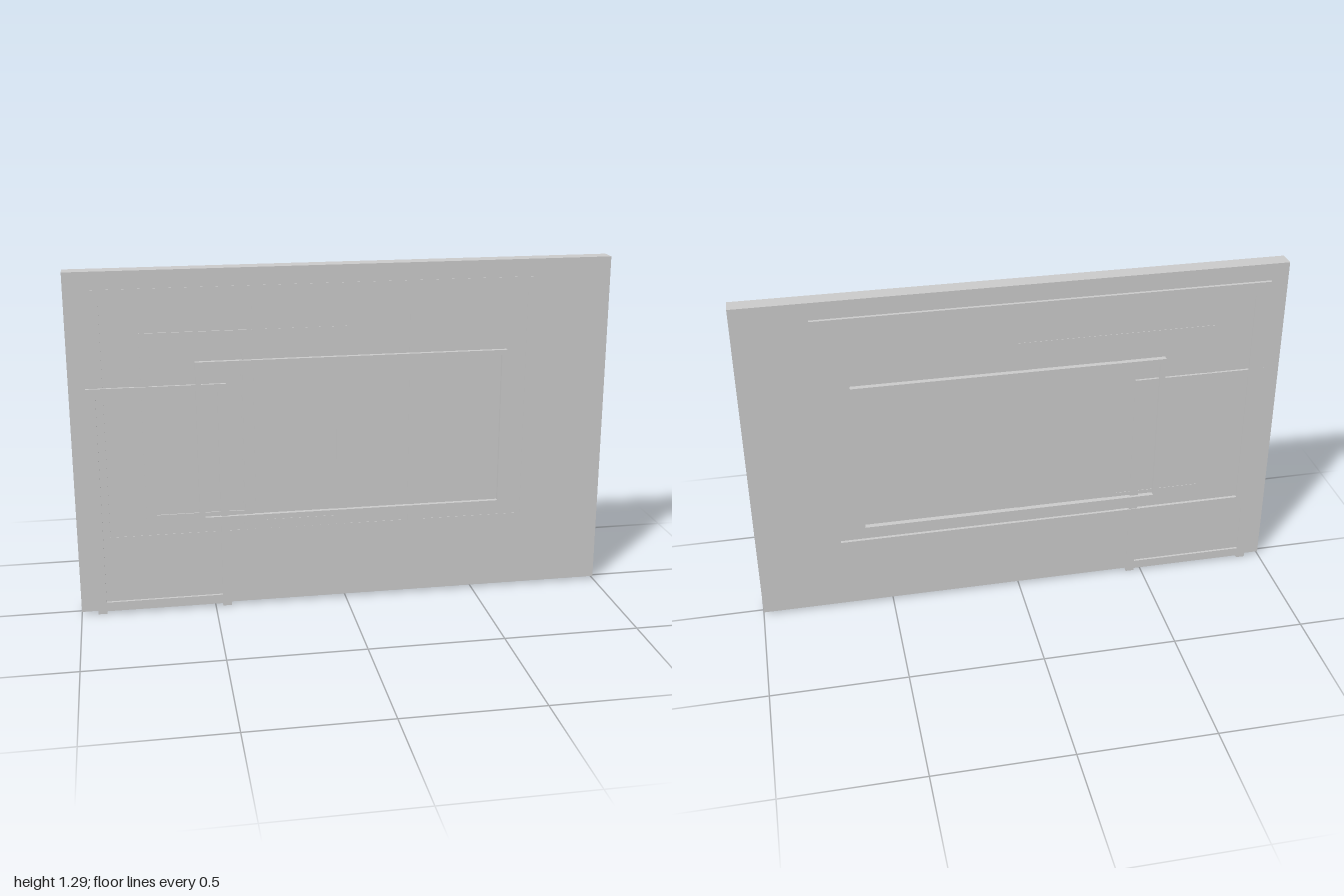
import * as THREE from 'three';

const material = new THREE.MeshStandardMaterial({ color: 0xcccccc, flatShading: true });

// Rectangular frame with one opening, running from depth z0 to z1
function frame(name, [x0, y0, x1, y1], [a0, b0, a1, b1], z0, z1) {
  const shape = new THREE.Shape();
  shape.moveTo(x0, y0).lineTo(x1, y0).lineTo(x1, y1).lineTo(x0, y1).closePath();
  const hole = new THREE.Path();
  hole.moveTo(a0, b0).lineTo(a0, b1).lineTo(a1, b1).lineTo(a1, b0).closePath();
  shape.holes.push(hole);
  const geometry = new THREE.ExtrudeGeometry(shape, { depth: z1 - z0, bevelEnabled: false });
  geometry.translate(0, 0, z0);
  const mesh = new THREE.Mesh(geometry, material);
  mesh.name = name;
  return mesh;
}

// Box given by its lower and upper limits
function box(name, x0, x1, y0, y1, z0, z1) {
  const mesh = new THREE.Mesh(new THREE.BoxGeometry(x1 - x0, y1 - y0, z1 - z0), material);
  mesh.position.set((x0 + x1) / 2, (y0 + y1) / 2, (z0 + z1) / 2);
  mesh.name = name;
  return mesh;
}

export function createModel() {
  const model = new THREE.Group();
  model.name = 'wallPanel';

  // Solid wall
  model.add(box('wall', -1, 1, 0.01, 1.29, -0.03, 0.033));

  // Wide window: proud at the back, nearly flush at the front, with two mullions
  model.add(frame('wideWindowFrame', [-0.935, 0.25, 0.733, 1.225], [-0.88, 0.3, 0.685, 1.175], -0.042, 0.0345));
  for (const x of [-0.32, 0.26]) {
    model.add(box('mullion', x - 0.02, x + 0.02, 0.3, 1.175, 0, 0.0345));
  }

  // Pair of upright window frames
  model.add(frame('uprightWindowFrame', [-0.745, 0.345, -0.345, 1.065], [-0.708, 0.378, -0.38, 1.03], -0.0315, 0.038));
  model.add(frame('middleWindowFrame', [-0.385, 0.3, 0.005, 1.065], [-0.35, 0.335, -0.035, 1.03], -0.0313, 0.0342));

  // Most prominent window frame, standing out on both faces
  model.add(frame('mainWindowFrame', [-0.55, 0.345, 0.61, 0.955], [-0.53, 0.362, 0.59, 0.936], -0.05, 0.05));

  // Door frame: posts reach the floor, the sill stays level with the wall
  model.add(frame('doorFrame', [-0.94, 0.01, -0.44, 0.87], [-0.907, 0.045, -0.472, 0.838], -0.039, 0.043));
  for (const x of [-0.9235, -0.456]) {
    model.add(box('doorFoot', x - 0.0165, x + 0.0165, 0, 0.01, -0.039, 0.043));
  }

  return model;
}
